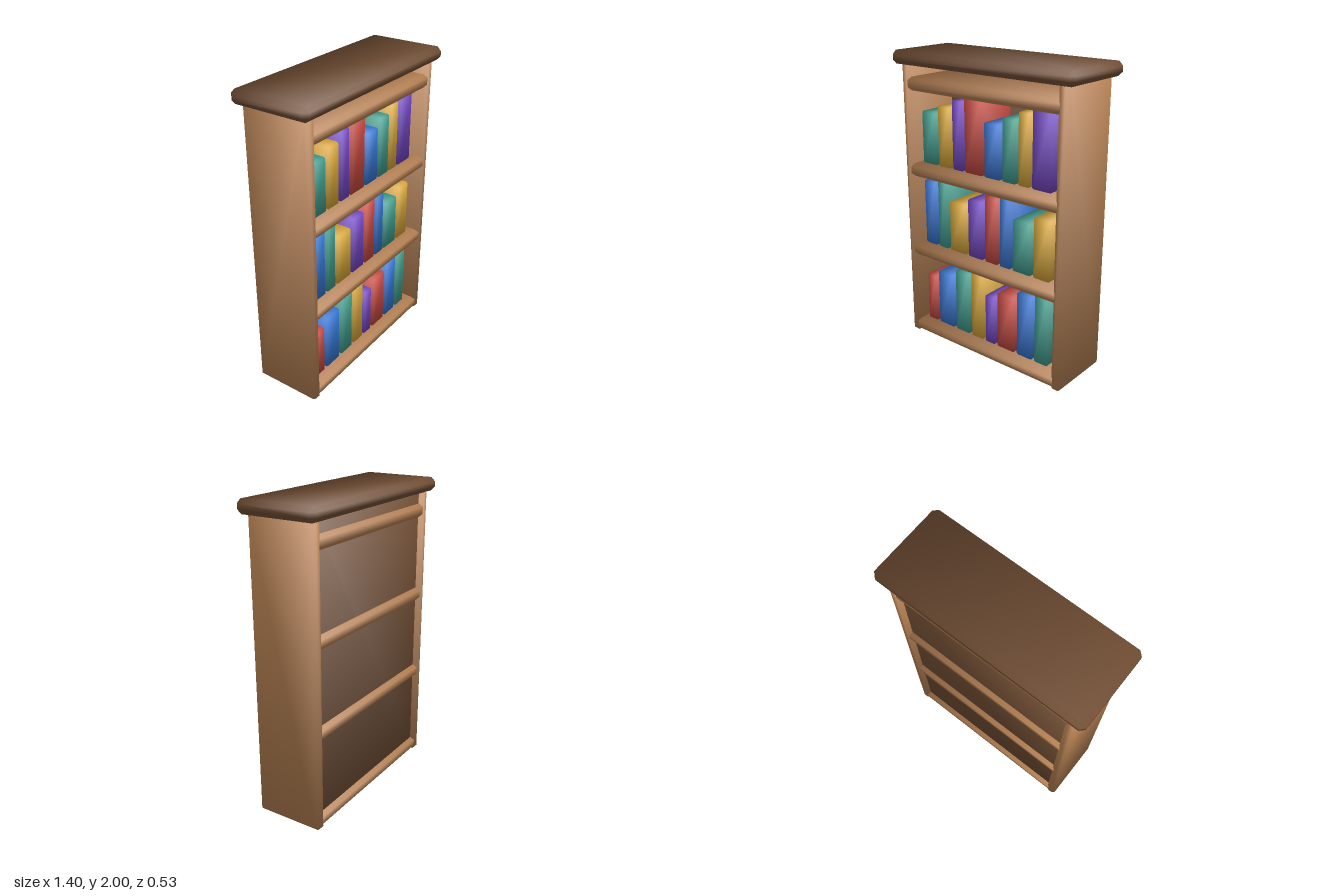
import * as THREE from 'three';

const mat = (name, color) => {
  const m = new THREE.MeshStandardMaterial({ color });
  m.name = name;
  return m;
};

// Chamfered box: three vertices per corner (one on each face plane),
// with a shared diagonal normal at each corner for soft shading.
function bevelBox(w, h, d, b) {
  const half = [w / 2, h / 2, d / 2];
  const pos = [], nor = [], idx = [];
  for (let c = 0; c < 8; c++) {
    const s = [c & 1 ? 1 : -1, c & 2 ? 1 : -1, c & 4 ? 1 : -1];
    for (let face = 0; face < 3; face++) {
      for (let k = 0; k < 3; k++) {
        pos.push(s[k] * (k === face ? half[k] : half[k] - b));
        nor.push(s[k] / Math.sqrt(3));
      }
    }
  }
  // Add a triangle, turned so that it faces away from the centre
  const P = (i) => new THREE.Vector3().fromArray(pos, i * 3);
  const tri = (i, j, k) => {
    const a = P(i), n = P(j).sub(a).cross(P(k).sub(a));
    const out = [i, j, k].reduce((v, q) => v.add(new THREE.Vector3().fromArray(nor, q * 3)), new THREE.Vector3());
    if (n.dot(out) > 0) idx.push(i, j, k); else idx.push(i, k, j);
  };
  const quad = (p, q, r, s) => { tri(p, q, r); tri(p, r, s); };
  for (let a = 0; a < 3; a++) {
    const u = (a + 1) % 3, v = (a + 2) % 3;
    const A = 1 << a, U = 1 << u, V = 1 << v;
    // Flat faces
    for (const base of [0, A]) {
      quad(base * 3 + a, (base + U) * 3 + a, (base + U + V) * 3 + a, (base + V) * 3 + a);
    }
    // Chamfers along this axis
    for (const e of [0, U, V, U + V]) {
      quad(e * 3 + u, (e + A) * 3 + u, (e + A) * 3 + v, e * 3 + v);
    }
  }
  for (let c = 0; c < 8; c++) tri(c * 3, c * 3 + 1, c * 3 + 2);

  const g = new THREE.BufferGeometry();
  g.setAttribute('position', new THREE.Float32BufferAttribute(pos, 3));
  g.setAttribute('normal', new THREE.Float32BufferAttribute(nor, 3));
  g.setIndex(idx);
  return g;
}

export function createModel() {
  const model = new THREE.Group();
  model.name = 'bookcase';

  const wood = mat('light wood', 0xb98354);
  const darkWood = mat('dark wood', 0x745035);
  const covers = [
    mat('red cover', 0xc9483f),
    mat('blue cover', 0x3578d6),
    mat('teal cover', 0x3f9f90),
    mat('yellow cover', 0xdaa936),
    mat('purple cover', 0x7446c6),
  ];

  const add = (name, material, size, centre, bevel, parent = model) => {
    const m = new THREE.Mesh(bevelBox(...size, bevel), material);
    m.name = name;
    m.position.set(...centre);
    parent.add(m);
    return m;
  };

  // Carcass
  add('leftSide', wood, [0.068, 1.92, 0.46], [0.614, 0.96, 0], 0.018);
  add('rightSide', wood, [0.068, 1.92, 0.46], [-0.614, 0.96, 0], 0.018);
  add('backPanel', darkWood, [1.2, 1.9, 0.03], [0, 0.965, -0.185], 0.008);
  add('cornice', darkWood, [1.405, 0.087, 0.534], [0, 1.9565, 0], 0.027);

  // Shelves, bottom to top
  const shelfTops = [0.098, 0.687, 1.26, 1.835];
  shelfTops.forEach((y, i) => {
    add('shelf' + (i + 1), wood, [1.27, 0.088, 0.452], [0, y - 0.044, 0], 0.02);
  });

  // Books: sizes and colours cycle along each row
  const widths = [0.086, 0.144, 0.125, 0.106];
  const heights = [0.35, 0.4, 0.452, 0.5];
  for (let row = 0; row < 3; row++) {
    const books = new THREE.Group();
    books.name = 'bookRow' + (row + 1);
    model.add(books);
    let x = -0.538;
    for (let i = 0; i < 8; i++) {
      const w = widths[(3 * row + i) % 4];
      const h = heights[(2 * row + i) % 4];
      add('book', covers[(row + i) % 5], [w, h, 0.3],
        [x + w / 2, shelfTops[row] + 0.004 + h / 2, 0.02], 0.01, books);
      x += w + 0.018;
    }
  }
  return model;
}
